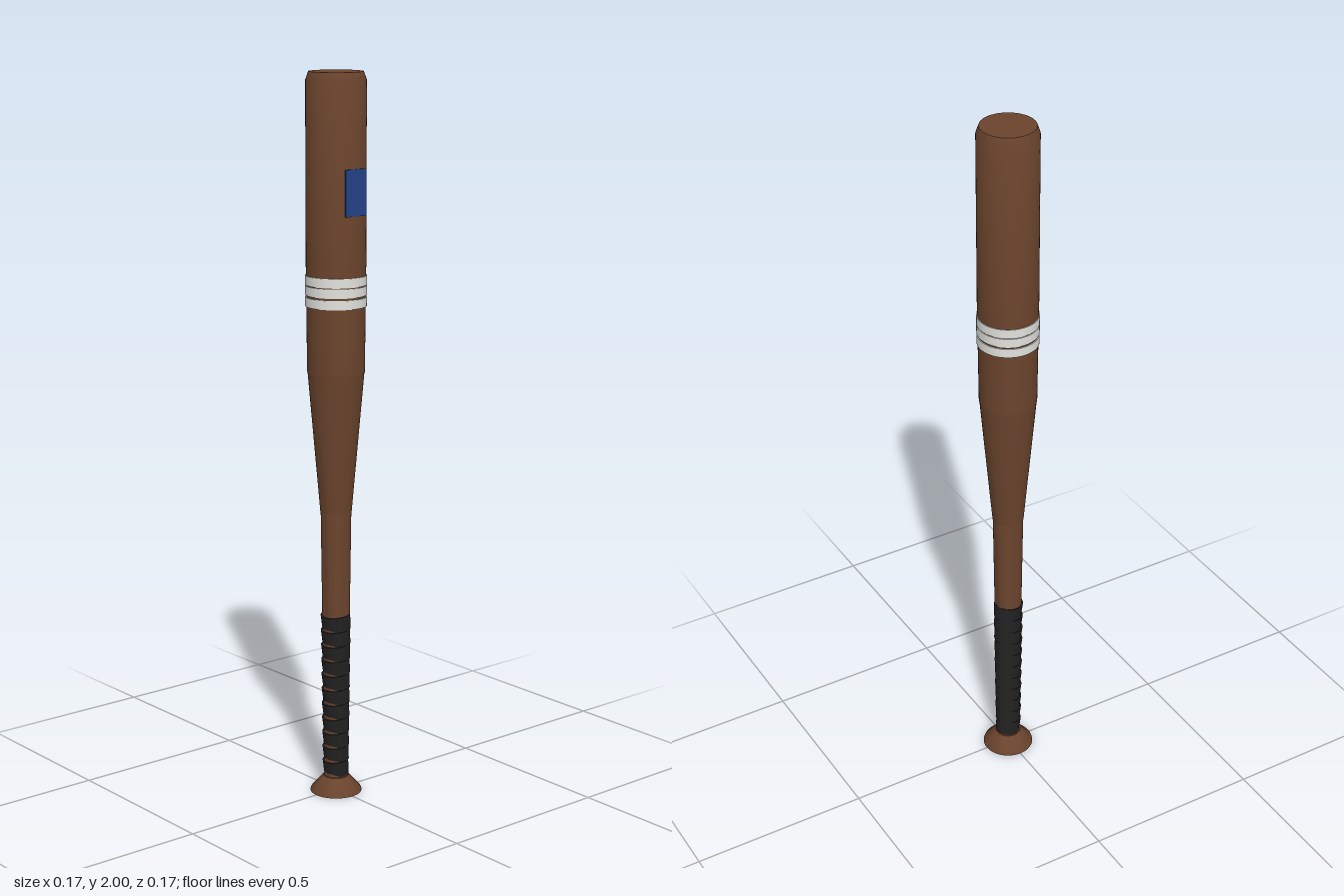
import * as THREE from 'three';
import { toCreasedNormals } from 'three/addons/utils/BufferGeometryUtils.js';

const material = (name, color) => {
  const m = new THREE.MeshStandardMaterial({ color });
  m.name = name;
  return m;
};

export function createModel() {
  const wood = material('brown wood', 0x6b442d);
  const wrap = material('black grip', 0x222222);
  const tape = material('white tape', 0xe2e2de);
  const blue = material('blue patch', 0x234288);

  const bat = new THREE.Group();
  bat.name = 'bat';
  const add = (name, geometry, mat, parent = bat) => {
    const mesh = new THREE.Mesh(geometry, mat);
    mesh.name = name;
    parent.add(mesh);
    return mesh;
  };
  const turned = (points) => toCreasedNormals(
    new THREE.LatheGeometry(points.map(([r, y]) => new THREE.Vector2(r, y)), 48), 0.6);

  // Flared knob at the bottom
  add('knob', turned([[0, 0], [0.072, 0], [0.07, 0.006], [0.036, 0.045], [0, 0.045]]), wood);

  // Handle, taper and barrel with a bevelled end
  add('handle', turned([[0.033, 0.04], [0.038, 0.5], [0.042, 0.81]]), wood);
  add('taper', turned([[0.043, 0.81], [0.077, 1.2]]), wood);
  add('barrel', turned([[0.078, 1.2], [0.081, 1.5], [0.081, 1.978], [0.073, 2], [0, 2]]), wood);

  // Grip wrap: overlapping bands, each tilted a little
  const grip = new THREE.Group();
  grip.name = 'grip';
  bat.add(grip);
  const turns = 11;
  for (let i = 0; i < turns; i++) {
    const r = 0.0345 + 0.005 * i / (turns - 1);
    const band = add('gripBand', new THREE.CylinderGeometry(r + 0.0015, r - 0.0005, 0.044, 32), wrap, grip);
    band.position.y = 0.07 + i * 0.0425;
    band.rotation.x = 0.1;
  }

  // Three tape rings with narrow gaps
  for (const y of [1.392, 1.4225, 1.45]) {
    const h = 0.0125;
    add('tapeRing', turned([[0.079, y - h], [0.083, y - h], [0.083, y + h], [0.079, y + h]]), tape);
  }

  // Flat patch on the left side of the barrel
  add('patch', new THREE.BoxGeometry(0.005, 0.124, 0.07), blue).position.set(0.0805, 1.688, 0);

  return bat;
}
